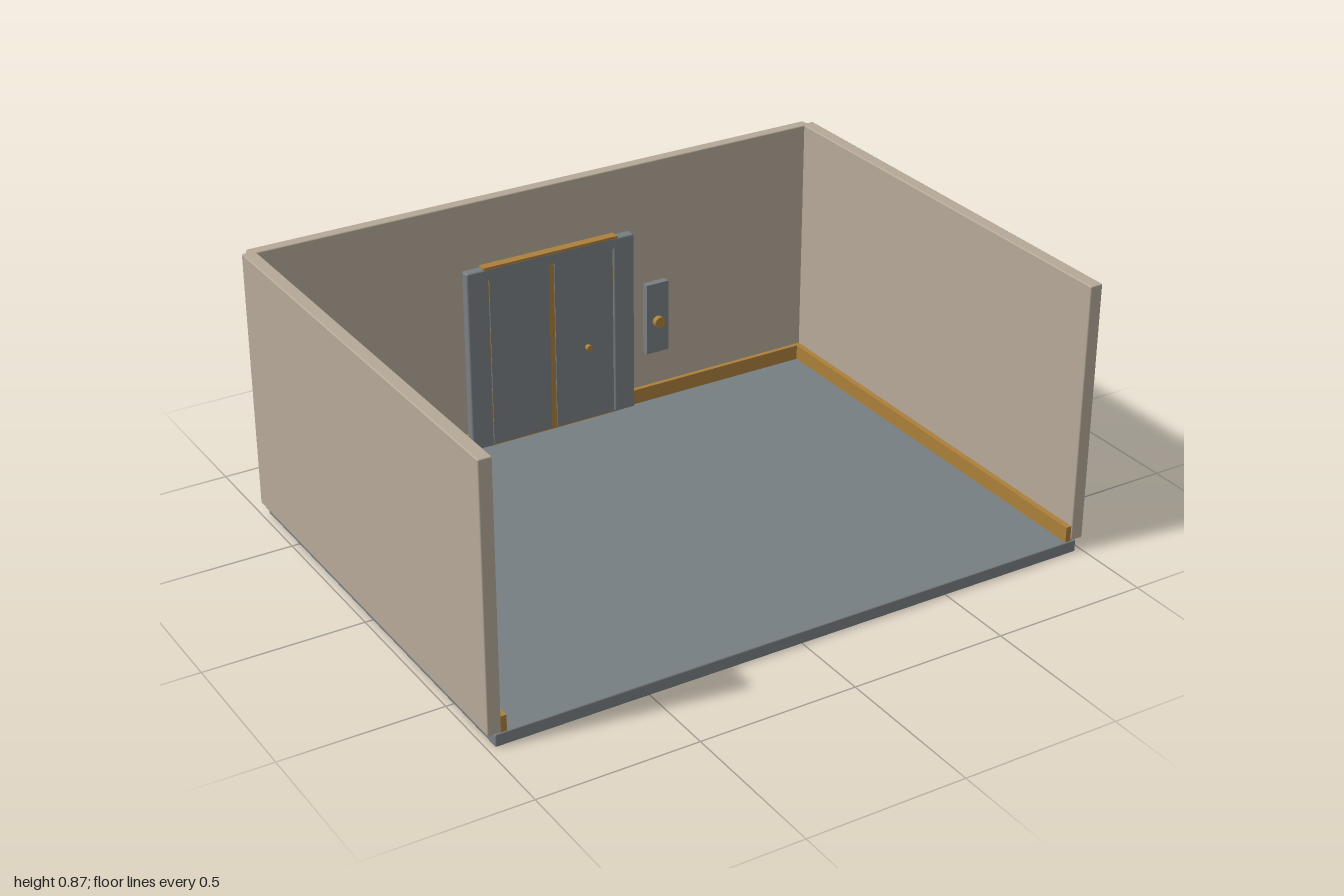
import * as THREE from 'three';
import { RoundedBoxGeometry } from 'three/addons/geometries/RoundedBoxGeometry.js';

function material(name, color) {
  const m = new THREE.MeshStandardMaterial({ color });
  m.name = name;
  return m;
}

export function createModel() {
  const model = new THREE.Group();
  model.name = 'openRoom';
  const plaster = material('beigePlaster', 0xb5a998);
  const slate = material('slateGrey', 0x777e82);
  const brass = material('brass', 0xab7f3a);

  // Box given by its limits on each axis, with an optional small bevel
  function box(name, mat, [x0, x1], [y0, y1], [z0, z1], bevel = 0) {
    const size = [x1 - x0, y1 - y0, z1 - z0];
    const geo = bevel
      ? new RoundedBoxGeometry(...size, 2, bevel)
      : new THREE.BoxGeometry(...size);
    const mesh = new THREE.Mesh(geo, mat);
    mesh.name = name;
    mesh.position.set((x0 + x1) / 2, (y0 + y1) / 2, (z0 + z1) / 2);
    model.add(mesh);
  }

  // Round knob pointing to the front
  function knob(name, x, y, z0, z1, r) {
    const geo = new THREE.CylinderGeometry(r, r, z1 - z0, 20).rotateX(Math.PI / 2);
    const mesh = new THREE.Mesh(geo, brass);
    mesh.name = name;
    mesh.position.set(x, y, (z0 + z1) / 2);
    model.add(mesh);
  }

  // Shell
  box('floor', slate, [-0.977, 0.977], [0, 0.04], [-0.72, 0.742], 0.004);
  box('backWall', plaster, [-0.977, 0.977], [0.042, 0.872], [-0.742, -0.705], 0.004);
  box('backBaseboard', brass, [-0.955, 0.955], [0.04, 0.09], [-0.706, -0.69]);

  // Mirrored parts
  for (const s of [-1, 1]) {
    const side = s > 0 ? 'left' : 'right';
    const span = (a, b) => (s > 0 ? [a, b] : [-b, -a]);
    box(side + 'Wall', plaster, span(0.958, 1), [0.042, 0.872], [-0.72, 0.742], 0.004);
    box(side + 'Baseboard', brass, span(0.94, 0.959), [0.04, 0.09], [-0.705, 0.739]);
    box(side + 'DoorJamb', slate, span(0.222, 0.297), [0.042, 0.654], [-0.707, -0.674], 0.006);
    box(side + 'DoorPanel', slate, span(0.01, 0.219), [0.046, 0.63], [-0.7, -0.676]);
  }

  // Door surround: brass backing shows in the gaps, lintel above with a brass cap
  box('doorBacking', brass, [-0.235, 0.235], [0.04, 0.655], [-0.706, -0.68]);
  box('doorLintel', slate, [-0.235, 0.235], [0.62, 0.652], [-0.705, -0.6745]);
  box('lintelCap', brass, [-0.237, 0.237], [0.65, 0.66], [-0.706, -0.675]);
  knob('doorKnob', 0.125, 0.3, -0.68, -0.661, 0.01);

  // Control plate beside the door
  box('controlPlate', slate, [0.336, 0.416], [0.225, 0.468], [-0.685, -0.661]);
  knob('controlButton', 0.376, 0.335, -0.665, -0.643, 0.019);

  return model;
}
